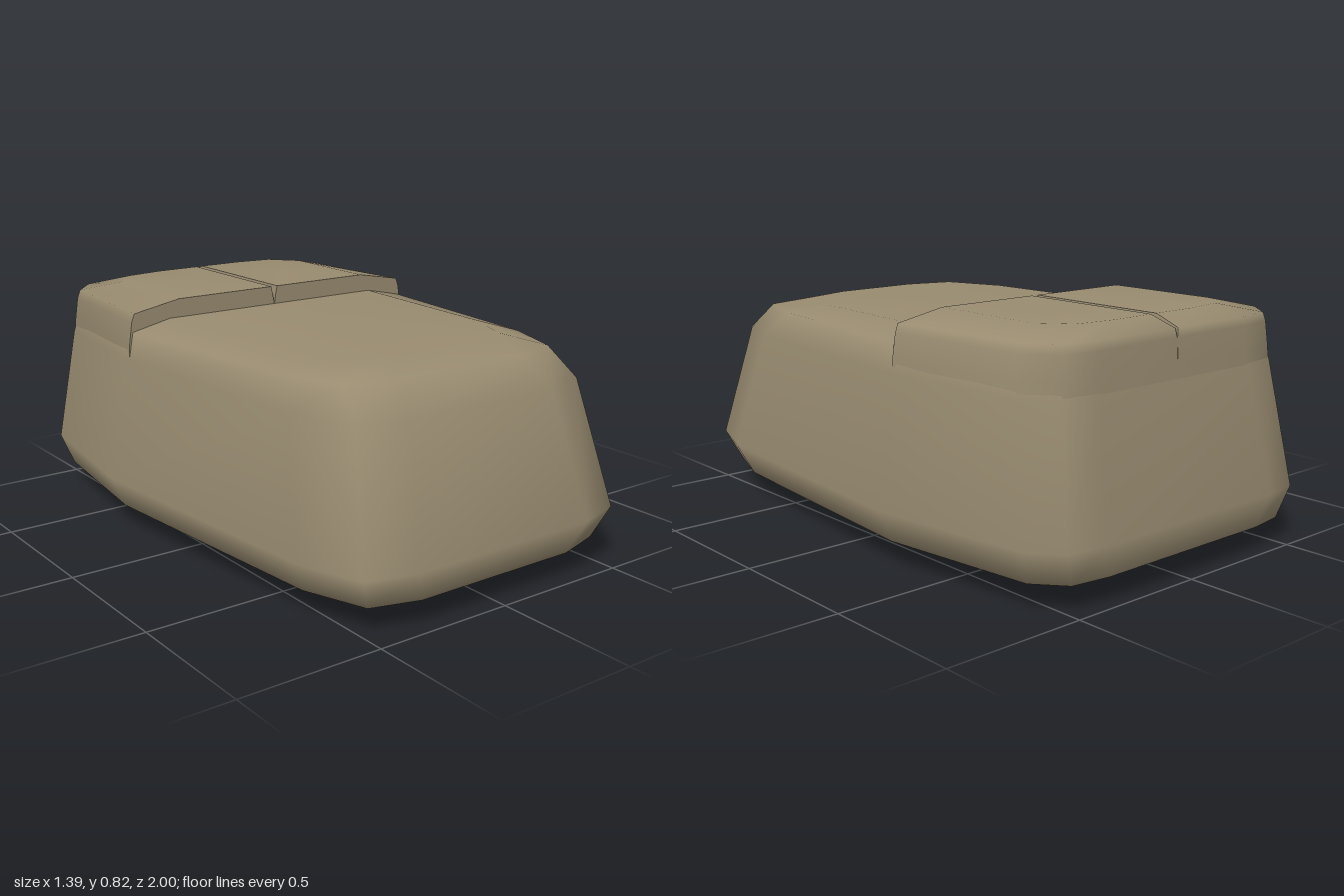
import * as THREE from 'three';
import { toCreasedNormals } from 'three/addons/utils/BufferGeometryUtils.js';

// Closed loft through horizontal rings (counterclockwise seen from above), capped at both ends.
function loft(rings, crease) {
  const n = rings[0].length, pos = [], idx = [];
  rings.forEach(r => r.forEach(p => pos.push(...p)));
  for (let r = 0; r < rings.length - 1; r++) {
    for (let i = 0; i < n; i++) {
      const a = r * n + i, b = r * n + (i + 1) % n;
      idx.push(a, b, b + n, a, b + n, a + n);
    }
  }
  [0, rings.length - 1].forEach(r => {
    const c = pos.length / 3;
    const mid = [0, 1, 2].map(k => {
      const v = rings[r].map(p => p[k]);
      return (Math.min(...v) + Math.max(...v)) / 2;
    });
    pos.push(...mid);
    for (let i = 0; i < n; i++) {
      const a = r * n + i, b = r * n + (i + 1) % n;
      if (r) idx.push(c, a, b); else idx.push(c, b, a);
    }
  });
  const g = new THREE.BufferGeometry();
  g.setAttribute('position', new THREE.Float32BufferAttribute(pos, 3));
  g.setIndex(idx);
  g.computeVertexNormals();
  return crease ? toCreasedNormals(g, crease) : g;
}

// Rounded rear corner shared by the shell and the buttons
const rearCorner = (y, wb, zb) => [
  [wb, y, zb + 0.12], [wb - 0.085, y, zb + 0.02], [wb - 0.225, y, zb],
];

// Full shell outline: front, middle and back half widths, front and back ends
function shellRing([y, wf, wm, wb, zf, zb]) {
  const half = [
    [wf - 0.25, y, zf], [wf - 0.08, y, zf - 0.05], [wf, y, zf - 0.27],
    [wm, y, -0.29], ...rearCorner(y, wb, zb),
  ];
  return [...half, ...half.map(([x, h, z]) => [-x, h, z]).reverse()];
}

// One button outline; gap is the distance of its inner wall from the centre line
function buttonRing([y, gap, wm, wb, zb], side) {
  const ring = [[gap, y, -0.27], [wm, y, -0.27], ...rearCorner(y, wb, zb), [gap, y, zb]];
  return side > 0 ? ring : ring.map(([x, h, z]) => [-x, h, z]).reverse();
}

export function createModel() {
  const group = new THREE.Group();
  const material = new THREE.MeshStandardMaterial({ color: 0x988b70 });
  material.name = 'beige plastic';
  const add = (name, geometry) => {
    const mesh = new THREE.Mesh(geometry, material);
    mesh.name = name;
    group.add(mesh);
    return mesh;
  };

  // Tapered shell
  add('shell', loft([
    [0.06, 0.41, 0.45, 0.42, 0.74, -0.89],
    [0.088, 0.56, 0.645, 0.575, 0.96, -0.975],
    [0.2, 0.61, 0.695, 0.615, 1.0, -1.0],
    [0.63, 0.545, 0.618, 0.572, 0.873, -0.918],
    [0.725, 0.51, 0.6, 0.55, 0.77, -0.9],
    [0.757, 0.41, 0.45, 0.42, 0.64, -0.8],
  ].map(shellRing)));

  // Two raised buttons with a V-shaped groove between them
  const buttonProfile = [
    [0.6, 0, 0.615, 0.57, -0.92],
    [0.68, 0, 0.613, 0.565, -0.914],
    [0.76, 0.001, 0.601, 0.555, -0.909],
    [0.79, 0.006, 0.59, 0.545, -0.905],
    [0.823, 0.013, 0.41, 0.41, -0.81],
  ];
  for (const [name, side] of [['leftButton', 1], ['rightButton', -1]]) {
    add(name, loft(buttonProfile.map(p => buttonRing(p, side)), 1.25));
  }

  // Ball under the shell
  const ballProfile = [[0, 0], [0.115, 0.016], [0.185, 0.065], [0.185, 0.1]]
    .map(([r, y]) => new THREE.Vector2(r, y));
  add('ball', new THREE.LatheGeometry(ballProfile, 8)).position.z = 0.065;

  return group;
}
